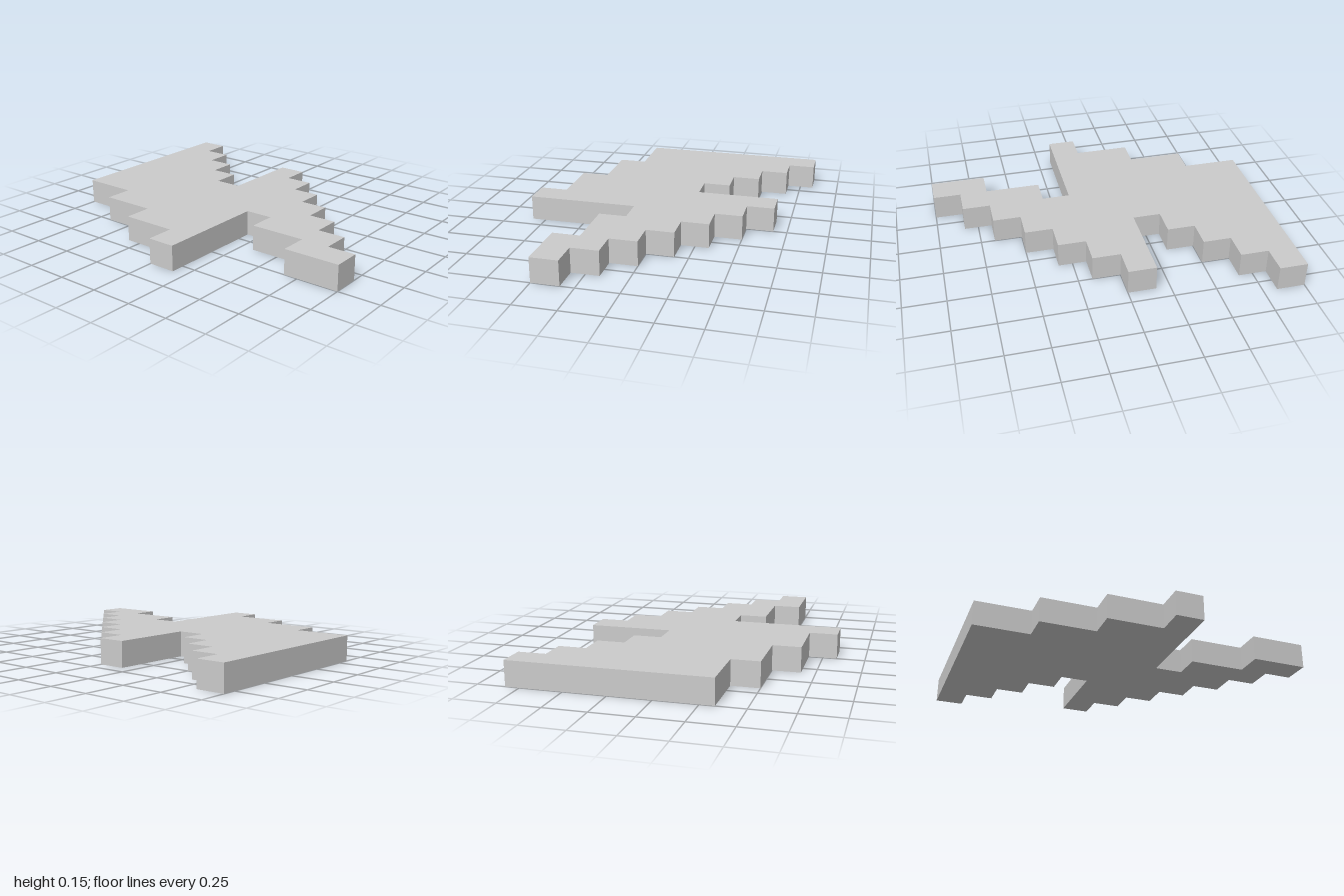
import * as THREE from 'three';

const CELL = 1 / 6;
const HEIGHT = 0.15;

// Left and right ends of each row of cells, from the back (z = -1) to the front
const ROWS = [
  [-2, 5], [-2, 4], [-3, 3], [-3, 2], [-4, 1], [-4, 4],
  [-5, 3], [-1, 2], [-2, 1], [-2, 0], [-3, -1], [-3, -2],
];

// Stepped edge down one side of the rows, with a corner only where the step changes
function steppedEdge(side) {
  const points = [];
  ROWS.forEach((row, i) => {
    const x = row[side] * CELL;
    const next = ROWS[i + 1];
    if (i === 0 || ROWS[i - 1][side] !== row[side]) points.push(new THREE.Vector2(x, 1 - i * CELL));
    if (!next || next[side] !== row[side]) points.push(new THREE.Vector2(x, 1 - (i + 1) * CELL));
  });
  return points;
}

export function createModel() {
  const group = new THREE.Group();
  group.name = 'lightningBolt';

  // Flat bolt plate: stepped outline extruded upwards
  const outline = new THREE.Shape([...steppedEdge(0), ...steppedEdge(1).reverse()]);
  const geometry = new THREE.ExtrudeGeometry(outline, { depth: HEIGHT, bevelEnabled: false });
  geometry.rotateX(-Math.PI / 2);

  const material = new THREE.MeshStandardMaterial({ color: 0xcccccc, flatShading: true });
  const plate = new THREE.Mesh(geometry, material);
  plate.name = 'boltPlate';
  group.add(plate);
  return group;
}
